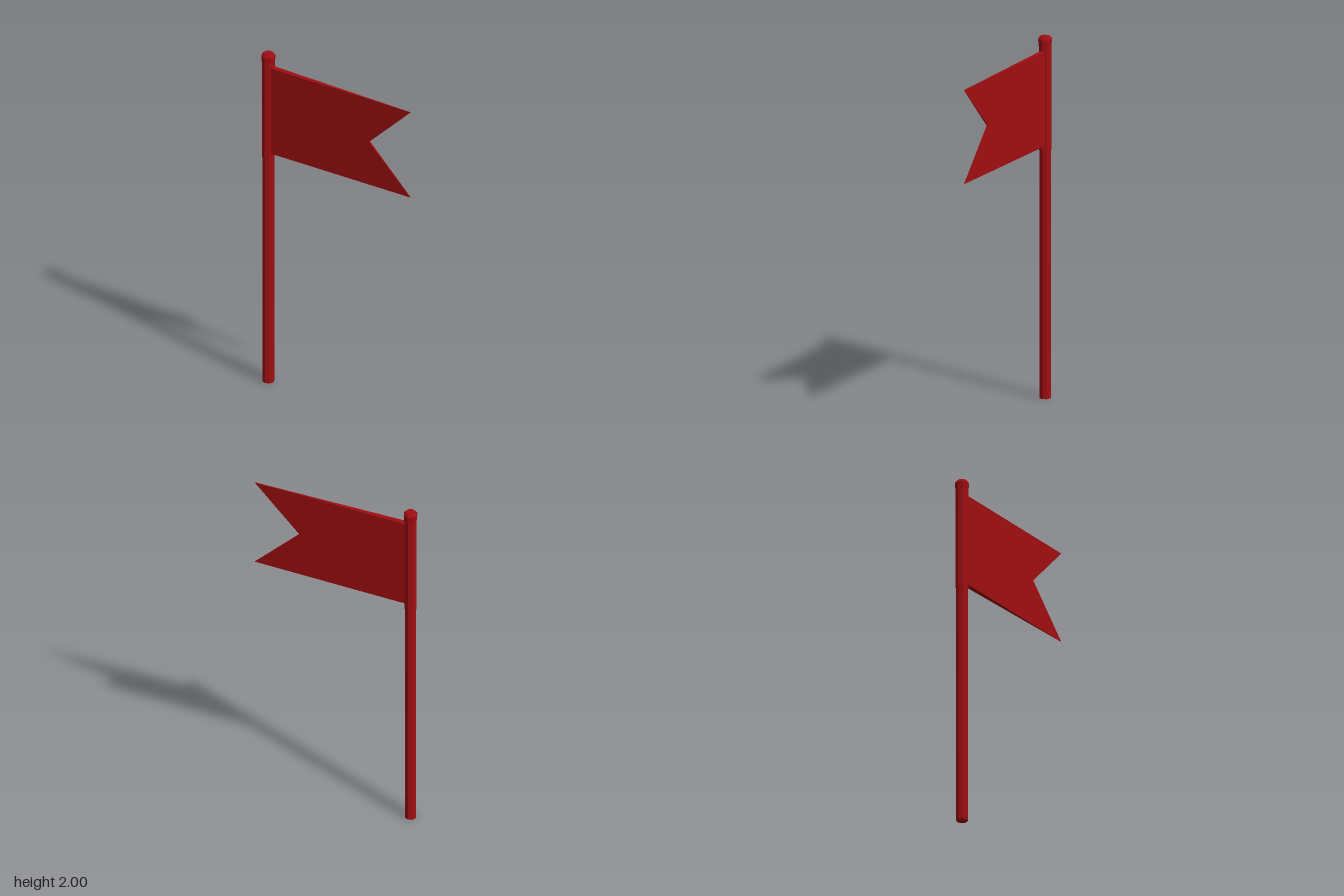
import * as THREE from 'three';

const POLE_X = -0.44;
const TIP_X = 0.475;

export function createModel() {
  const model = new THREE.Group();
  const red = new THREE.MeshStandardMaterial({ color: 0xa00e11 });
  red.name = 'red';

  const add = (name, geometry) => {
    // split corners so every facet is shaded flat
    const flat = geometry.index ? geometry.toNonIndexed() : geometry;
    flat.computeVertexNormals();
    const mesh = new THREE.Mesh(flat, red);
    mesh.name = name;
    model.add(mesh);
  };

  // upright eight-sided section between two heights
  const section = (name, rTop, rBottom, y0, y1) =>
    add(name, new THREE.CylinderGeometry(rTop, rBottom, y1 - y0, 8)
      .translate(POLE_X, (y0 + y1) / 2, 0));

  section('pole', 0.032, 0.032, 0, 1.96);
  section('flagSleeve', 0.035, 0.035, 1.37, 1.95);
  section('capRim', 0.039, 0.036, 1.95, 1.985);
  section('capTop', 0.026, 0.039, 1.985, 2);

  // swallow-tailed flag, thinning towards its tips
  const outline = new THREE.Shape([
    [POLE_X, 1.4], [TIP_X, 1.4], [0.21, 1.66], [TIP_X, 1.92], [POLE_X, 1.92],
  ].map(([x, y]) => new THREE.Vector2(x, y)));
  const flag = new THREE.ExtrudeGeometry(outline, { depth: 1, bevelEnabled: false });
  const p = flag.attributes.position;
  for (let i = 0; i < p.count; i++) {
    const t = (TIP_X - p.getX(i)) / (TIP_X - POLE_X);
    p.setZ(i, (p.getZ(i) - 0.5) * (0.001 + 0.031 * t));
  }
  add('flag', flag);

  return model;
}
